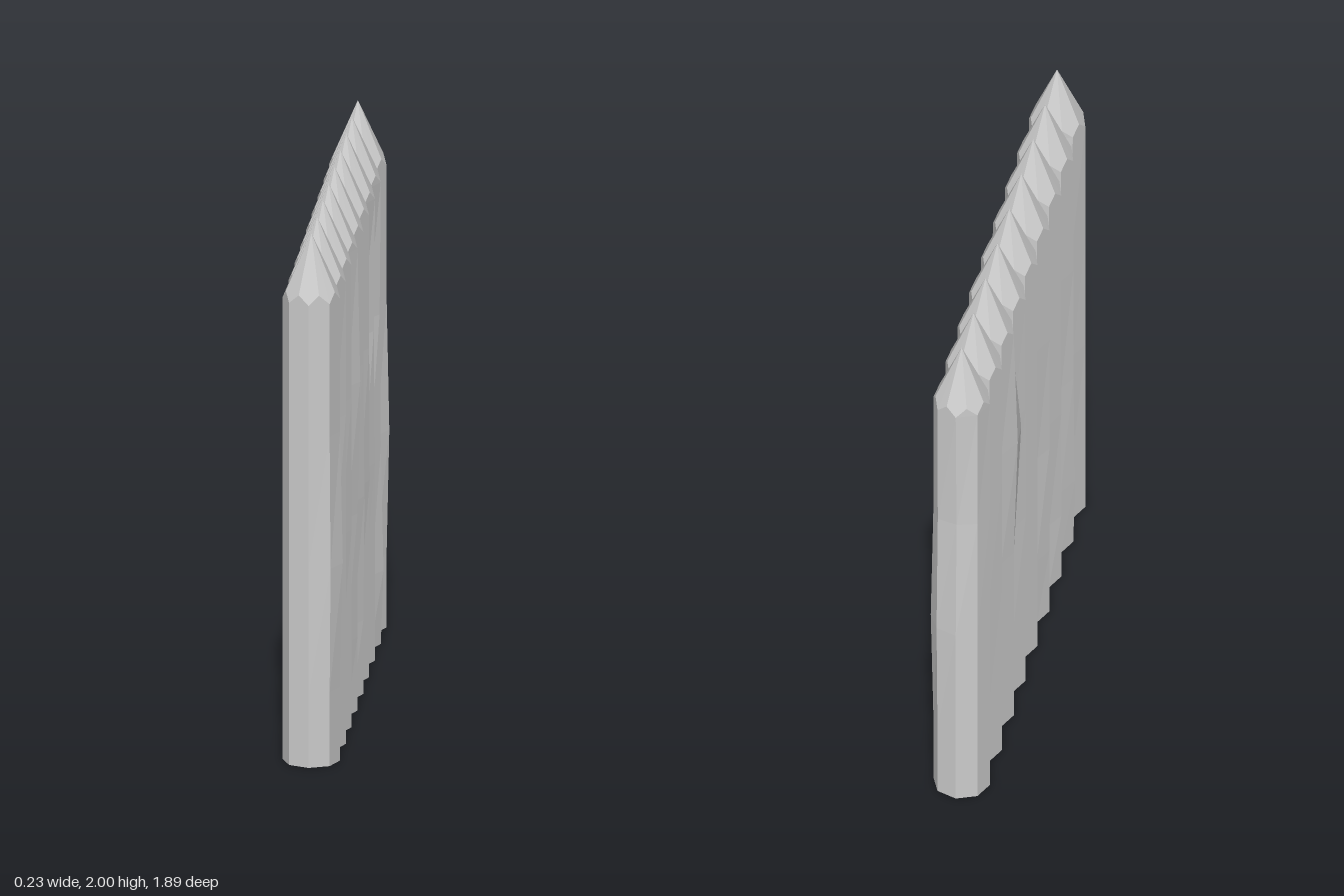
import * as THREE from 'three';

const SIDES = 8, RADIUS = 0.105, SPACING = 0.21, COUNT = 9;
const RINGS = [0, 0.28, 0.75, 1.25, 1.755]; // shaft heights
const TIP = 2, NOTCH = 1.79;

// Hewn irregularities per stake: [edge, ring, outward amount]
// edges: 0 = +z, 2 = +x, 4 = -z, 6 = -x
const BUMPS = [
  [[4, 3, 0.025], [4, 2, 0.015], [2, 2, 0.01]],
  [[0, 3, -0.03], [4, 2, -0.03], [4, 1, 0.01], [7, 1, 0.02]],
  [[0, 2, 0.035], [4, 1, -0.03]],
  [[0, 1, 0.03], [4, 1, 0.015], [4, 2, -0.03], [2, 3, 0.01]],
  [[0, 1, -0.025], [0, 2, 0.03], [3, 2, 0.015]],
  [[4, 2, -0.02], [4, 3, -0.01], [1, 2, 0.01]],
  [[1, 3, -0.02], [0, 2, 0.015], [7, 3, 0.05]],
  [[1, 3, -0.02], [4, 2, 0.01], [2, 1, 0.01]],
  [[4, 3, -0.015], [2, 2, 0.01]],
];

function stakeGeometry(bumps) {
  const pos = [];
  const tri = (...pts) => pts.forEach((p) => pos.push(p.x, p.y, p.z));
  const polar = (step, r, y) => {
    const a = (step / SIDES) * Math.PI * 2;
    return new THREE.Vector3(Math.sin(a) * r, y, Math.cos(a) * r);
  };

  // Octagonal cross-sections, pushed in or out along single edges
  const rings = RINGS.map((y) => Array.from({ length: SIDES }, (_, i) => polar(i, RADIUS, y)));
  for (const [edge, ring, amount] of bumps) {
    const push = polar(edge, amount, 0);
    for (const d of [-1, 0, 1]) {
      rings[ring][(edge + d + SIDES) % SIDES].addScaledVector(push, d ? 0.35 : 1);
    }
  }

  const tip = new THREE.Vector3(0, TIP, 0), base = new THREE.Vector3();
  const top = rings[rings.length - 1];
  for (let i = 0; i < SIDES; i++) {
    const j = (i + 1) % SIDES;
    // shaft sides
    for (let k = 0; k + 1 < rings.length; k++) {
      const lo = rings[k], hi = rings[k + 1];
      tri(lo[i], lo[j], hi[j]);
      tri(lo[i], hi[j], hi[i]);
    }
    // bottom cap
    tri(base, rings[0][j], rings[0][i]);
    // scalloped shoulder and sharpened point
    const mid = polar(i + 0.5, RADIUS * Math.cos(Math.PI / SIDES), NOTCH);
    tri(top[i], top[j], mid);
    tri(top[i], mid, tip);
    tri(mid, top[j], tip);
  }

  const geo = new THREE.BufferGeometry();
  geo.setAttribute('position', new THREE.Float32BufferAttribute(pos, 3));
  geo.computeVertexNormals();
  return geo;
}

export function createModel() {
  const group = new THREE.Group();
  group.name = 'palisade';
  const wood = new THREE.MeshStandardMaterial({ color: 0xcccccc, flatShading: true });
  // Row of touching stakes along z
  for (let s = 0; s < COUNT; s++) {
    const stake = new THREE.Mesh(stakeGeometry(BUMPS[s]), wood);
    stake.name = `stake${s + 1}`;
    stake.position.z = ((COUNT - 1) / 2 - s) * SPACING;
    group.add(stake);
  }
  return group;
}
